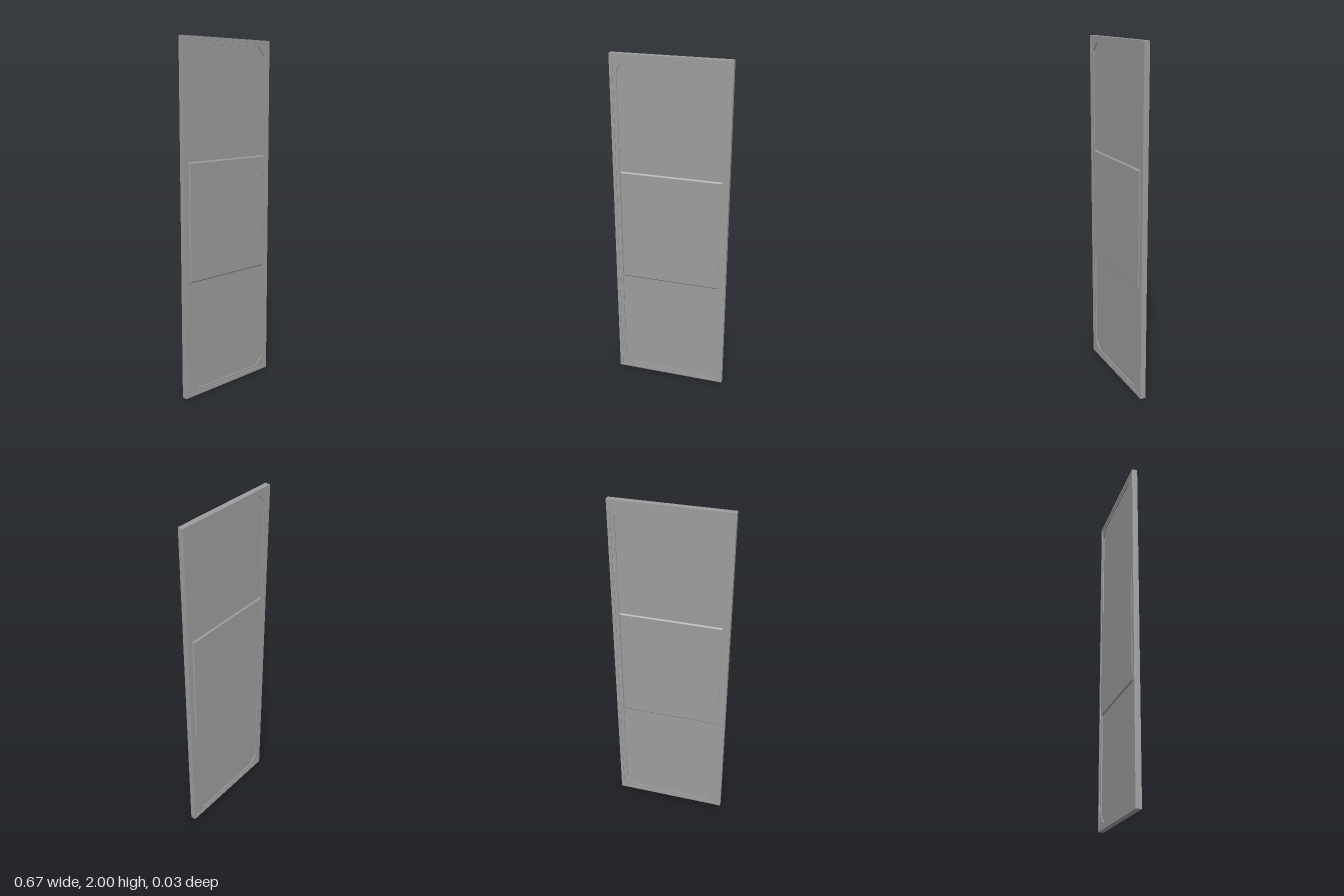
import * as THREE from 'three';

const H = 2, W = 0.667, T = 0.032;

// Rectangle centred on the origin with corners cut by c
function outline(w, h, c = 0, Type = THREE.Shape) {
  const x = w / 2, y = h / 2;
  const pts = c
    ? [[-x + c, -y], [x - c, -y], [x, -y + c], [x, y - c], [x - c, y], [-x + c, y], [-x, y - c], [-x, -y + c]]
    : [[-x, -y], [x, -y], [x, y], [-x, y]];
  return new Type(pts.map(([a, b]) => new THREE.Vector2(a, b)));
}

// Slab of the given thickness centred on z = 0, with an optional opening and edge bevel
function slab(shape, thickness, hole, bevel = 0, bevelDepth = 0) {
  if (hole) shape.holes.push(hole);
  const depth = thickness - 2 * bevelDepth;
  const geo = new THREE.ExtrudeGeometry(shape, {
    depth, bevelEnabled: bevel > 0, bevelSize: bevel, bevelOffset: -bevel,
    bevelThickness: bevelDepth, bevelSegments: 1,
  });
  geo.translate(0, H / 2, -depth / 2);
  return geo;
}

export function createModel() {
  const group = new THREE.Group();
  const material = new THREE.MeshStandardMaterial({ color: 0x9d9d9d, flatShading: true });
  const add = (name, geometry) => {
    const mesh = new THREE.Mesh(geometry, material);
    mesh.name = name;
    group.add(mesh);
    return mesh;
  };

  // Thin raised rim around the outside
  const rim = 0.018;
  const innerW = W - 2 * rim, innerH = H - 2 * rim;
  add('outerRim', slab(outline(W, H), T, outline(innerW, innerH, 0, THREE.Path)));

  // Slightly lower frame with a cut-corner opening
  const openW = 0.59, openH = 1.926;
  add('frame', slab(outline(innerW, innerH), 0.024, outline(openW, openH, 0.048, THREE.Path)));

  // Recessed sheet behind the opening, seen as the upper and lower panels
  add('recessedPanel', slab(outline(openW, openH, 0.048), 0.012));

  // Raised middle panel with bevelled edges, standing out on both faces
  add('middlePanel', slab(outline(openW, 0.672), 0.028, null, 0.007, 0.006)).position.y = 0.004;

  return group;
}
